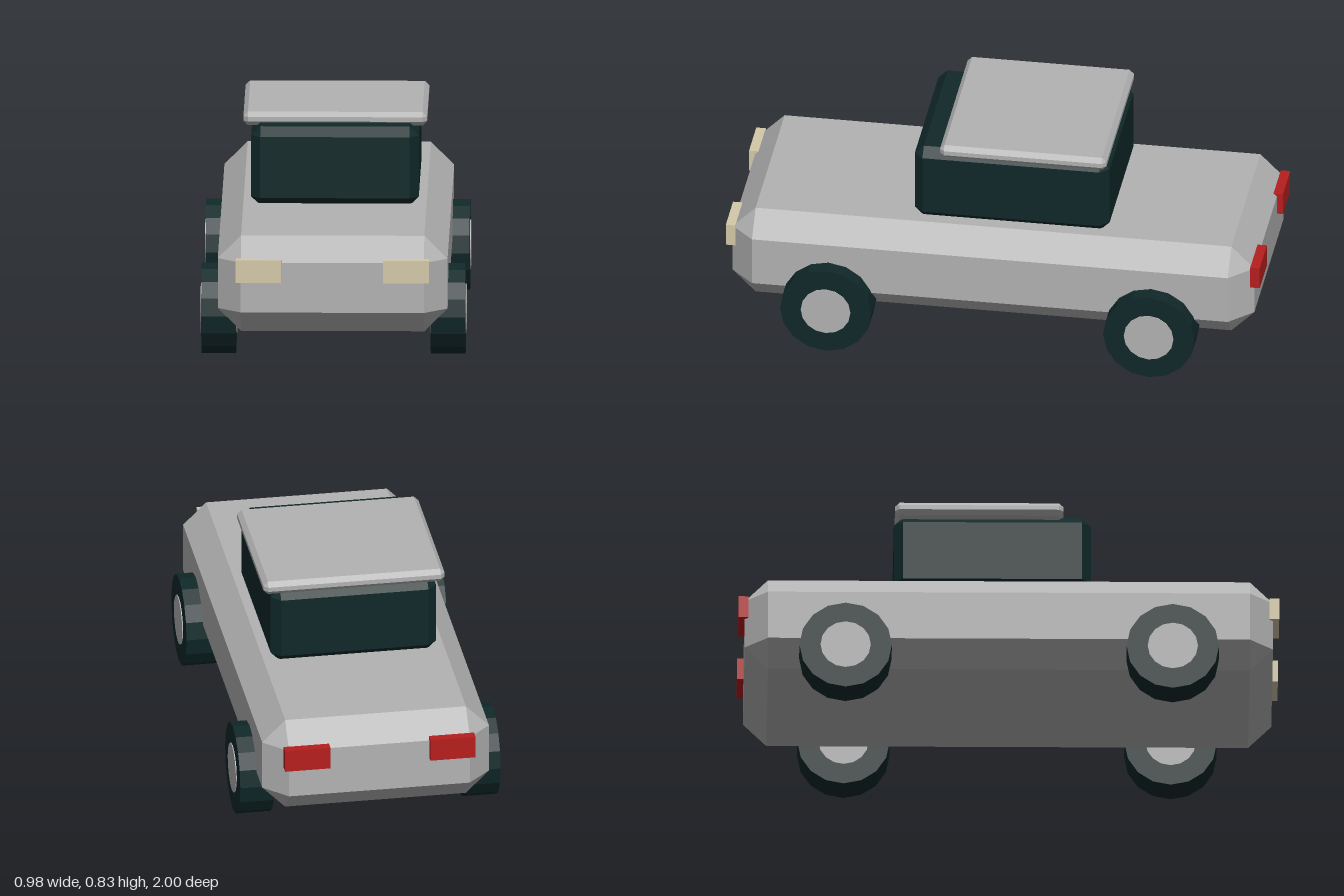
import * as THREE from 'three';
import { ConvexGeometry } from 'three/addons/geometries/ConvexGeometry.js';

const material = (name, color) => {
  const m = new THREE.MeshStandardMaterial({ color, flatShading: true });
  m.name = name;
  return m;
};

// Box with every edge cut at 45 degrees and triangular corners
function chamferBox(w, h, d, c) {
  const half = [w / 2, h / 2, d / 2];
  const points = [];
  for (const sx of [-1, 1]) for (const sy of [-1, 1]) for (const sz of [-1, 1]) {
    for (let axis = 0; axis < 3; axis++) {
      const p = half.map((v, i) => (i === axis ? v : v - c));
      points.push(new THREE.Vector3(p[0] * sx, p[1] * sy, p[2] * sz));
    }
  }
  return new ConvexGeometry(points);
}

export function createModel() {
  const paint = material('silver paint', 0xb2b2b2);
  const dark = material('dark glass and rubber', 0x102829);
  const lamp = material('cream lamp', 0xd3c8a8);
  const red = material('red lamp', 0xb61e1e);

  const car = new THREE.Group();
  car.name = 'car';
  const add = (name, geometry, mat, x, y, z, parent = car) => {
    const mesh = new THREE.Mesh(geometry, mat);
    mesh.name = name;
    mesh.position.set(x, y, z);
    parent.add(mesh);
    return mesh;
  };

  // Body, cabin and overhanging roof
  add('body', chamferBox(0.85, 0.36, 1.954, 0.086), paint, 0, 0.321, 0);
  add('cabin', chamferBox(0.62, 0.298, 0.73, 0.034), dark, 0, 0.64, -0.06);
  add('roof', chamferBox(0.68, 0.051, 0.624, 0.017), paint, 0, 0.802, -0.109);

  // Lamps
  const lampBox = new THREE.BoxGeometry(0.17, 0.085, 0.036);
  for (const side of [1, -1]) {
    const label = side > 0 ? 'left' : 'right';
    add(label + 'Headlight', lampBox, lamp, side * 0.272, 0.385, 0.982);
    add(label + 'TailLight', lampBox, red, side * 0.272, 0.385, -0.982);
  }

  // Wheels: tyre with a hub running right through it
  const tyre = new THREE.CylinderGeometry(0.171, 0.171, 0.128, 16).rotateZ(Math.PI / 2);
  const hub = new THREE.CylinderGeometry(0.093, 0.093, 0.135, 16).rotateZ(Math.PI / 2);
  for (const side of [1, -1]) for (const end of [1, -1]) {
    const wheel = new THREE.Group();
    wheel.name = (end > 0 ? 'front' : 'rear') + (side > 0 ? 'Left' : 'Right') + 'Wheel';
    wheel.position.set(side * 0.424, 0.171, end * 0.605);
    add('tyre', tyre, dark, 0, 0, 0, wheel);
    add('hub', hub, paint, 0, 0, 0, wheel);
    car.add(wheel);
  }
  return car;
}
